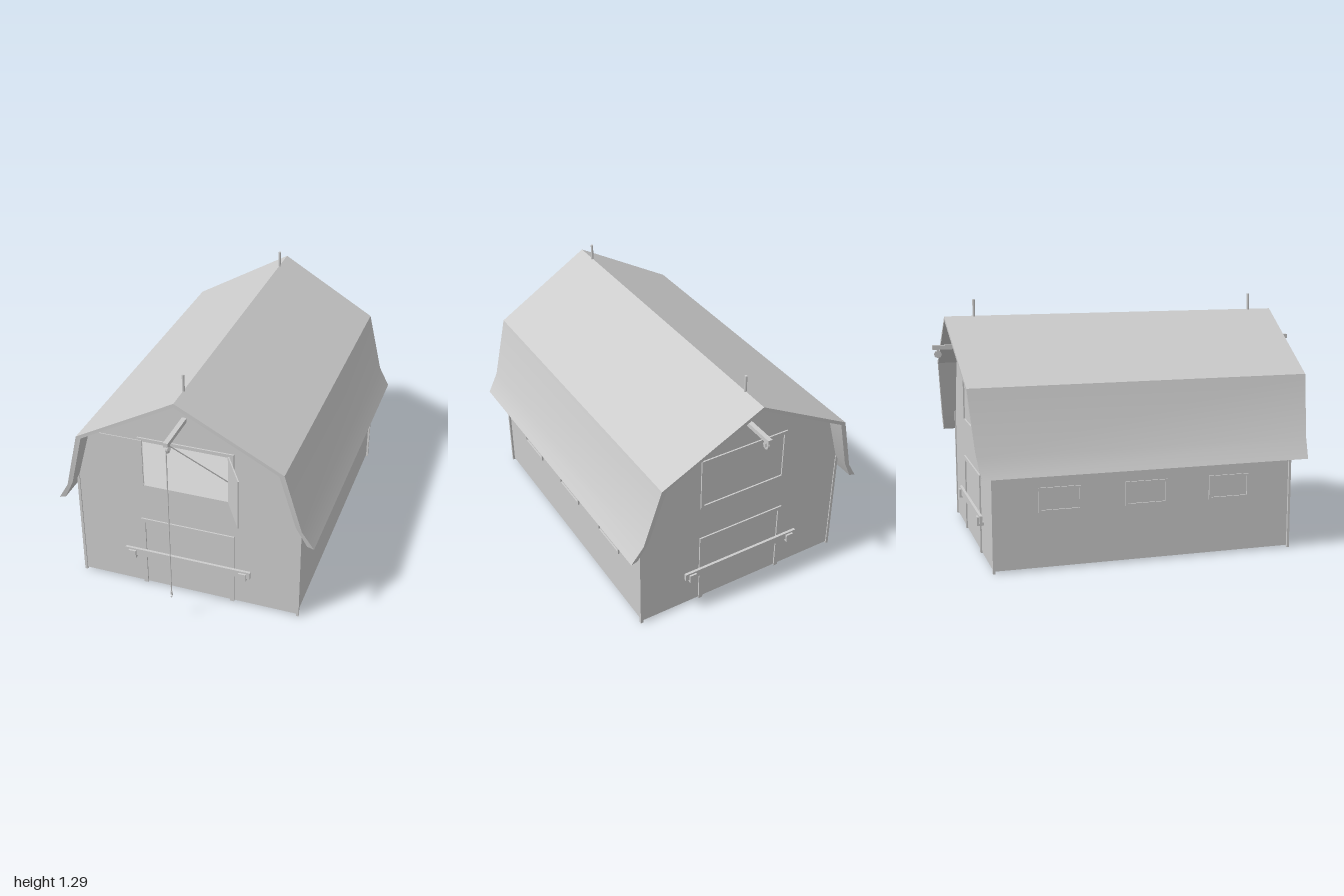
import * as THREE from 'three';
import { toCreasedNormals } from 'three/addons/utils/BufferGeometryUtils.js';

const grey = new THREE.MeshStandardMaterial({ color: 0xcccccc });
const sheet = new THREE.MeshStandardMaterial({ color: 0xcccccc, side: THREE.DoubleSide });

const FRONT = 0.76, BACK = -0.805, MID = (FRONT + BACK) / 2, LENGTH = FRONT - BACK;

function add(parent, name, geometry, x = 0, y = 0, z = 0, material = grey) {
  const mesh = new THREE.Mesh(geometry, material);
  mesh.name = name;
  mesh.position.set(x, y, z);
  parent.add(mesh);
  return mesh;
}

// Box given by its limits
function block(parent, name, x0, x1, y0, y1, z0, z1) {
  return add(parent, name, new THREE.BoxGeometry(x1 - x0, y1 - y0, z1 - z0),
    (x0 + x1) / 2, (y0 + y1) / 2, (z0 + z1) / 2);
}

// Rectangular frame facing +z, optionally without its bottom rail
function frame(w, y0, y1, t, depth, open = false) {
  const s = new THREE.Shape([[-w, y0], [w, y0], [w, y1], [-w, y1]].map(p => new THREE.Vector2(...p)));
  if (open) {
    const pts = [[-w, y0], [-w + t, y0], [-w + t, y1 - t], [w - t, y1 - t], [w - t, y0], [w, y0], [w, y1], [-w, y1]];
    return new THREE.ExtrudeGeometry(new THREE.Shape(pts.map(p => new THREE.Vector2(...p))), { depth, bevelEnabled: false });
  }
  s.holes.push(new THREE.Path([[-w + t, y0 + t], [-w + t, y1 - t], [w - t, y1 - t], [w - t, y0 + t]]
    .map(p => new THREE.Vector2(...p))));
  return new THREE.ExtrudeGeometry(s, { depth, bevelEnabled: false });
}

function rope(parent, name, a, b) {
  const path = new THREE.LineCurve3(new THREE.Vector3(...a), new THREE.Vector3(...b));
  add(parent, name, new THREE.TubeGeometry(path, 1, 0.003, 6));
}

// Gambrel roof shell with raked ends and flared eaves
function roofGeometry() {
  // x, y, half length
  const outer = [[0.675, 0.49, 0.845], [0.615, 0.59, 0.86], [0.53, 0.91, 0.886], [0, 1.21, 0.912]];
  const inner = [[0.64, 0.5, 0.845], [0.585, 0.61, 0.86], [0.505, 0.903, 0.886], [0, 1.19, 0.912]];
  const whole = half => [...half, ...half.slice(0, 3).reverse().map(([x, y, z]) => [-x, y, z])];
  const o = whole(outer), n = whole(inner), ring = [...o, ...n.slice().reverse()];
  const pos = [];
  const at = (p, side) => [p[0], p[1], MID + side * p[2]];
  const quad = (a, b, c, d) => pos.push(...a, ...b, ...c, ...a, ...c, ...d);
  ring.forEach((a, i) => {
    const b = ring[(i + 1) % ring.length];
    quad(at(a, 1), at(a, -1), at(b, -1), at(b, 1));
  });
  for (let i = 0; i < 6; i++) {
    quad(at(o[i], 1), at(o[i + 1], 1), at(n[i + 1], 1), at(n[i], 1));
    quad(at(n[i], -1), at(n[i + 1], -1), at(o[i + 1], -1), at(o[i], -1));
  }
  const g = new THREE.BufferGeometry();
  g.setAttribute('position', new THREE.Float32BufferAttribute(pos, 3));
  return toCreasedNormals(g, Math.PI / 6);
}

// One gable end, facing +z with its wall at z = 0
function gableEnd(name, reach, hatchOpen) {
  const end = new THREE.Group();
  end.name = name;
  const wall = new THREE.Shape([[-0.585, 0.01], [0.585, 0.01], [0.585, 0.61], [0.505, 0.903],
    [0, 1.19], [-0.505, 0.903], [-0.585, 0.61]].map(p => new THREE.Vector2(...p)));
  if (hatchOpen) {
    wall.holes.push(new THREE.Path([[-0.225, 0.625], [-0.225, 0.893], [0.225, 0.893], [0.225, 0.625]]
      .map(p => new THREE.Vector2(...p))));
  }
  add(end, 'gableWall', new THREE.ShapeGeometry(wall), 0, 0, 0, sheet);
  add(end, 'hatchFrame', frame(0.25, 0.61, 0.905, 0.018, 0.014), 0, 0, -0.006);
  add(end, 'doorFrame', frame(0.25, 0.005, 0.417, 0.022, 0.014, true), 0, 0, -0.006);

  // Barred ground door
  block(end, 'doorBar', -0.34, 0.34, 0.185, 0.225, 0.01, 0.024);
  for (const x of [-0.3, 0.3]) {
    block(end, 'barBracket', x - 0.02, x + 0.02, 0.17, 0.187, -0.006, 0.034);
    block(end, 'barBracketLip', x - 0.02, x + 0.02, 0.17, 0.215, 0.024, 0.034);
  }

  // Hoist beam and pulley
  block(end, 'hoistBeam', -0.012, 0.012, 1.04, 1.062, -0.01, reach);
  const wheel = add(end, 'pulley', new THREE.CylinderGeometry(0.02, 0.02, 0.012, 8), 0, 1.015, reach - 0.028);
  wheel.rotation.z = Math.PI / 2;
  for (const x of [-0.008, 0.008]) block(end, 'pulleyStrap', x - 0.002, x + 0.002, 1.01, 1.04, reach - 0.034, reach - 0.022);
  return end;
}

export function createModel() {
  const barn = new THREE.Group();
  barn.name = 'barn';

  add(barn, 'roof', roofGeometry());

  const front = gableEnd('frontGable', 1 - FRONT, true);
  front.position.z = FRONT;
  const back = gableEnd('backGable', 1 + BACK, false);
  back.position.z = BACK;
  back.rotation.y = Math.PI;
  barn.add(front, back);

  // Side walls with framed windows
  for (const s of [-1, 1]) {
    const wall = add(barn, 'sideWall', new THREE.PlaneGeometry(LENGTH, 0.6), s * 0.585, 0.31, MID, sheet);
    wall.rotation.y = s * Math.PI / 2;
    for (const dz of [-0.445, 0, 0.445]) {
      const win = add(barn, 'windowFrame', frame(0.11, 0.29, 0.415, 0.012, 0.014), s * 0.579, 0, MID + dz);
      win.rotation.y = s * Math.PI / 2;
    }
    for (const z of [FRONT, BACK]) {
      block(barn, 'cornerPost', s * 0.589 - 0.007, s * 0.589 + 0.007, 0, 0.61, z - 0.006, z + 0.006);
    }
  }

  // Loft floor
  block(barn, 'loftFloor', -0.42, 0.42, 0.6, 0.615, BACK + 0.005, FRONT - 0.005);

  // Hatch doors: one folded flat to the wall, one ajar
  block(barn, 'foldedHatchDoor', -0.45, -0.225, 0.625, 0.893, FRONT + 0.008, FRONT + 0.013);
  const hinge = new THREE.Group();
  hinge.name = 'ajarHatchDoor';
  hinge.position.set(0.222, 0, FRONT + 0.005);
  hinge.rotation.y = -Math.atan2(0.185, 0.113);
  block(hinge, 'hatchDoor', 0, 0.217, 0.625, 0.893, -0.003, 0.003);
  barn.add(hinge);

  // Hoist rope and hook
  rope(barn, 'hangingRope', [0, 1.02, 0.995], [0, 0.185, 0.995]);
  rope(barn, 'tiedRope', [0, 1.032, 0.965], [0.22, 0.745, FRONT + 0.005]);
  add(barn, 'hookBlock', new THREE.CylinderGeometry(0.006, 0.006, 0.018, 8), 0, 0.178, 0.995);
  const hook = add(barn, 'hook', new THREE.TorusGeometry(0.008, 0.003, 6, 12, Math.PI * 1.5), 0, 0.161, 0.995);
  hook.rotation.set(0, Math.PI / 2, 0);
  hook.rotation.z = Math.PI;

  // Ridge rods
  for (const z of [FRONT, -0.78]) {
    add(barn, 'ridgeRod', new THREE.CylinderGeometry(0.007, 0.007, 0.1, 8), 0, 1.245, z);
  }
  return barn;
}
